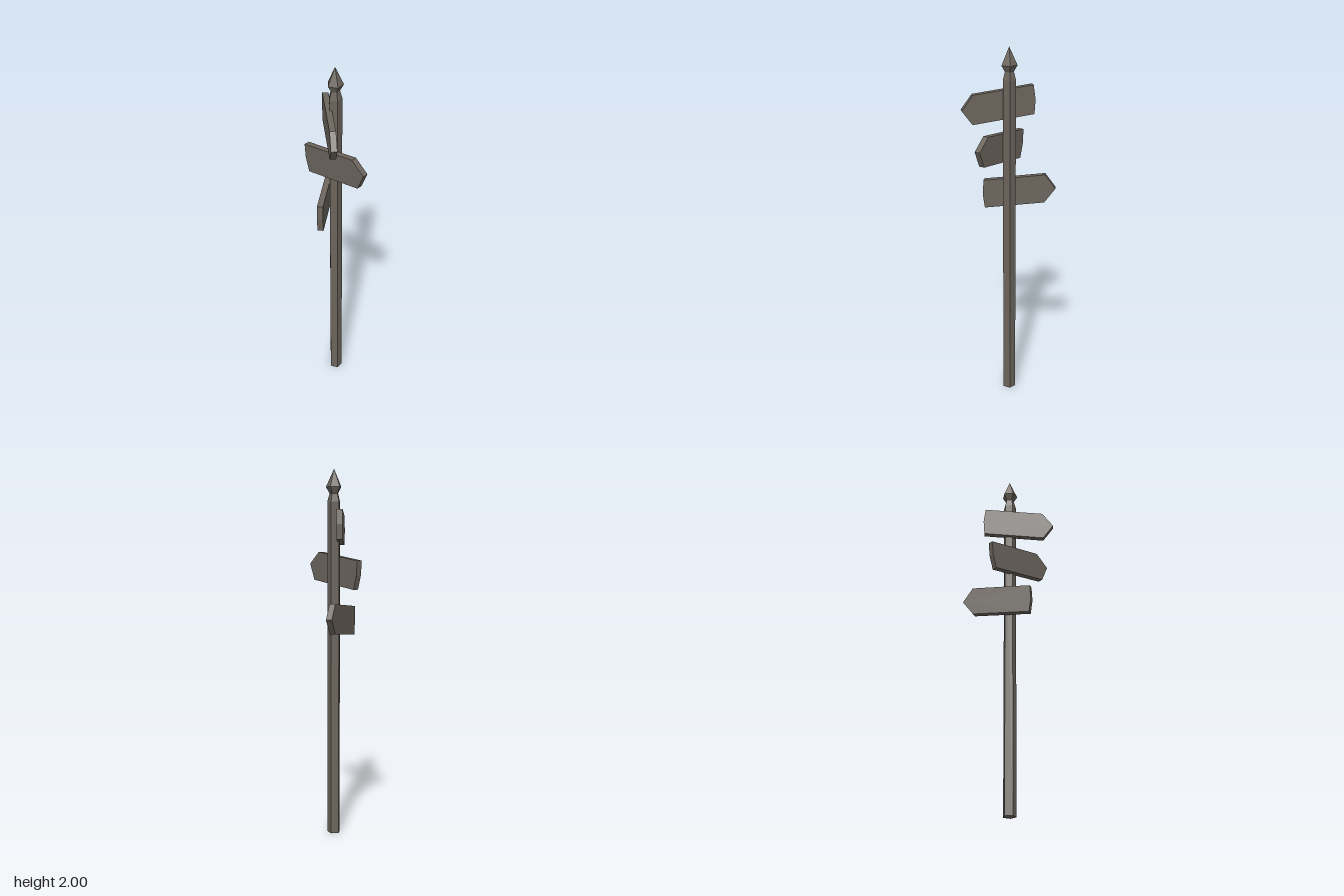
import * as THREE from 'three';

const wood = new THREE.MeshStandardMaterial({ color: 0x6b645c });
wood.name = 'weatheredWood';
wood.flatShading = true;

// Five-sided turned part from [radius, y] pairs, corner facing the back
function turned(name, profile) {
  const points = profile.map(([r, y]) => new THREE.Vector2(r, y));
  const mesh = new THREE.Mesh(new THREE.LatheGeometry(points, 5, Math.PI), wood);
  mesh.name = name;
  mesh.position.set(-0.016, 0, -0.005);
  return mesh;
}

// Pointed plank, tip towards local +x, slightly uneven as if hand cut
function boardGeometry(thickness) {
  const outline = [
    [0.012, -0.079], [0.348, -0.079], [0.396, 0.005],
    [0.327, 0.079], [0, 0.079], [-0.002, 0],
  ].map(([x, y]) => new THREE.Vector2(x - 0.197, y));
  const geometry = new THREE.ExtrudeGeometry(new THREE.Shape(outline), {
    depth: thickness, bevelEnabled: false,
  });
  return geometry.translate(0, 0, -thickness / 2);
}

export function createModel() {
  const group = new THREE.Group();
  group.name = 'signpost';

  // Post with a chamfered top, and the spear-shaped finial
  group.add(turned('post', [
    [0, 0], [0.036, 0], [0.036, 1.828], [0.024, 1.872], [0, 1.872],
  ]));
  group.add(turned('finial', [
    [0, 1.87], [0.024, 1.87], [0.044, 1.905], [0, 2],
  ]));

  // Direction boards: yaw around the post, pitch of the tip, optional flip
  const plank = boardGeometry(0.032);
  const boards = [
    { name: 'topBoard', at: [-0.027, 1.687, 0.055], yaw: -1.158, pitch: -0.113, flip: 0 },
    { name: 'middleBoard', at: [0.003, 1.461, 0.044], yaw: -0.428, pitch: 0.113, flip: 0 },
    { name: 'bottomBoard', at: [-0.079, 1.2, -0.049], yaw: 1.696, pitch: 0.113, flip: Math.PI },
  ];
  for (const { name, at, yaw, pitch, flip } of boards) {
    const board = new THREE.Mesh(plank, wood);
    board.name = name;
    board.position.set(...at);
    board.rotation.set(flip, yaw, pitch, 'YZX');
    group.add(board);
  }
  return group;
}
